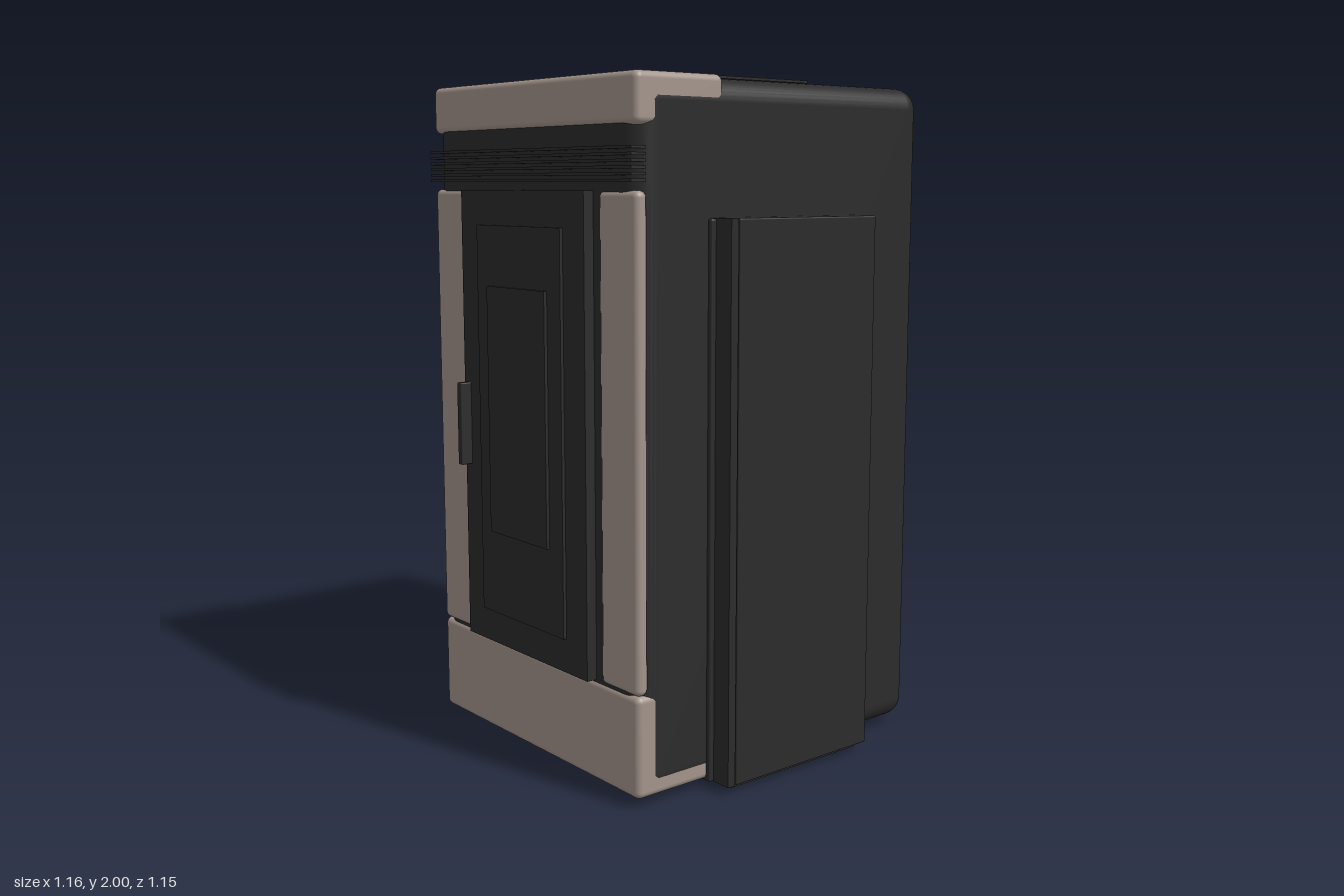
import * as THREE from 'three';
import { RoundedBoxGeometry } from 'three/addons/geometries/RoundedBoxGeometry.js';

export function createModel() {
  const model = new THREE.Group();
  model.name = 'stove';

  const steel = new THREE.MeshStandardMaterial({ color: 0x2b2b2b });
  steel.name = 'dark steel';
  const stone = new THREE.MeshStandardMaterial({ color: 0xa3948b });
  stone.name = 'warm stone';

  // Block given by its limits on each axis, with optional rounded edges
  function block(name, material, [x0, x1], [y0, y1], [z0, z1], radius = 0) {
    const size = [x1 - x0, y1 - y0, z1 - z0];
    const geometry = radius
      ? new RoundedBoxGeometry(...size, 5, radius)
      : new THREE.BoxGeometry(...size);
    const mesh = new THREE.Mesh(geometry, material);
    mesh.name = name;
    mesh.position.set((x0 + x1) / 2, (y0 + y1) / 2, (z0 + z1) / 2);
    model.add(mesh);
    return mesh;
  }

  // Main casing and low plinth
  block('casing', steel, [-0.504, 0.504], [0.022, 1.976], [-0.575, 0.508], 0.065);
  block('plinth', steel, [-0.545, 0.545], [0, 0.025], [-0.285, 0.215]);

  // Stone cladding: top cap, base block and the two front pillars
  block('topCap', stone, [-0.503, 0.503], [1.845, 1.983], [0.215, 0.514], 0.02);
  block('baseBlock', stone, [-0.503, 0.503], [0.027, 0.32], [0.215, 0.514], 0.02);
  for (const [name, x] of [['leftPillar', [0.335, 0.503]], ['rightPillar', [-0.503, -0.335]]]) {
    block(name, stone, x, [0.32, 1.678], [0.474, 0.514], 0.018);
  }

  // Air grille slats above the door
  for (let i = 0; i < 6; i++) {
    const y = 1.7 + i * 0.017;
    block('grilleSlat', steel, [-0.5, 0.5], [y, y + 0.008], [0.48, 0.529]);
  }

  // Door, stepped frame, window and handle
  block('door', steel, [-0.308, 0.308], [0.322, 1.677], [0.48, 0.54]);
  block('doorFrame', steel, [-0.21, 0.21], [0.422, 1.577], [0.53, 0.55]);
  block('doorWindow', steel, [-0.146, 0.146], [0.672, 1.402], [0.545, 0.56]);
  block('doorHandle', steel, [-0.297, -0.274], [0.855, 1.105], [0.535, 0.576], 0.004);

  // Side panels, each with a mounting plate and a front trim strip
  for (const side of [1, -1]) {
    const label = side > 0 ? 'left' : 'right';
    const span = (a, b) => (side > 0 ? [a, b] : [-b, -a]);
    block(label + 'MountingPlate', steel, span(0.48, 0.517), [0.022, 1.603], [-0.313, 0.27], 0.006);
    block(label + 'SidePanel', steel, span(0.5, 0.58), [0.022, 1.605], [-0.3, 0.224], 0.005);
    block(label + 'TrimStrip', steel, span(0.5, 0.579), [0.022, 1.605], [0.228, 0.254]);
  }

  // Thin plate above the casing
  block('topPlate', steel, [-0.278, 0.278], [1.992, 2], [-0.313, 0.152]);

  return model;
}
